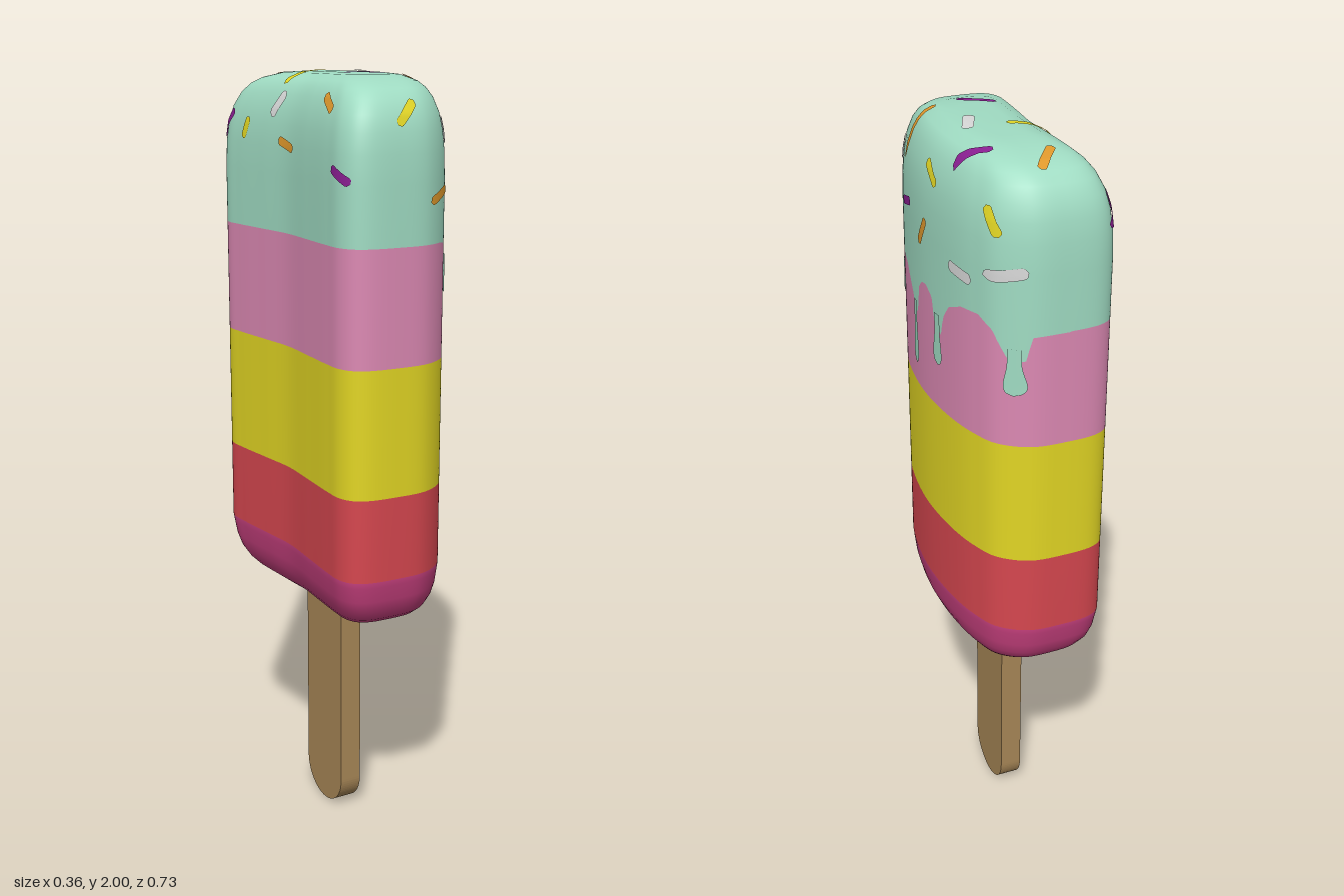
import * as THREE from 'three';

const mat = (name, color, side = THREE.FrontSide) => {
  const m = new THREE.MeshStandardMaterial({ color, side });
  m.name = name;
  return m;
};

// Centre line of the bent cross-section
const bend = z => 0.01 - 0.47 * z * z;

// Lower edge of the mint coating on the convex side, as [z, y]
const EDGE = [
  [0.37, 1.605], [0.33, 1.605], [0.31, 1.6], [0.3, 1.56], [0.286, 1.54], [0.272, 1.56], [0.265, 1.6],
  [0.24, 1.617], [0.2, 1.62], [0.15, 1.61], [0.115, 1.58], [0.085, 1.55], [0.072, 1.52], [0.044, 1.52],
  [0.035, 1.59], [0.01, 1.615], [-0.02, 1.62], [-0.055, 1.6], [-0.068, 1.54], [-0.105, 1.52],
  [-0.115, 1.57], [-0.145, 1.61], [-0.2, 1.632], [-0.26, 1.635], [-0.3, 1.61], [-0.322, 1.56],
  [-0.33, 1.54], [-0.352, 1.54], [-0.358, 1.6], [-0.37, 1.605],
];
function coatingEdge(x, z) {
  if (x < bend(z)) return 1.605;
  for (let i = 1; i < EDGE.length; i++) {
    const [z0, y0] = EDGE[i - 1], [z1, y1] = EDGE[i];
    if (z <= z0 && z >= z1) return y0 + (y1 - y0) * (z0 - z) / (z0 - z1);
  }
  return 1.605;
}

// Kidney-shaped outline, mirrored front to back
function outline(n) {
  const half = [[0.178, 0], [0.165, -0.15], [0.143, -0.24], [0.11, -0.31], [0.04, -0.358], [-0.05, -0.366],
    [-0.13, -0.358], [-0.162, -0.338], [-0.178, -0.3], [-0.177, -0.24], [-0.167, -0.12], [-0.158, 0]];
  const pts = [...half, ...half.slice(1, -1).reverse().map(([x, z]) => [x, -z])];
  const curve = new THREE.CatmullRomCurve3(pts.map(([x, z]) => new THREE.Vector3(x, 0, z)), true);
  return curve.getSpacedPoints(n).slice(0, n);
}

// Body: stacked sections, one material group per flavour band
function makeBody(mats) {
  const n = 240, ring = outline(n);
  // [depth from the end, scale in z, scale in x]
  const cap = [[0, 0, 0], [0.0, 0.35, 0.3], [0.004, 0.55, 0.48], [0.018, 0.73, 0.66], [0.033, 0.82, 0.75],
    [0.055, 0.89, 0.83], [0.09, 0.945, 0.91], [0.13, 0.975, 0.96], [0.18, 0.993, 0.99]];
  const rows = cap.map(([d, sz, sx]) => [() => 0.615 + d * 0.8, sz, sx]);
  const bands = [rows.length];
  for (const y of [0.775, 0.99, 1.315]) {
    rows.push([() => y, 1, 1]);
    bands.push(rows.length);
  }
  rows.push([p => coatingEdge(p.x, p.z), 1, 1]);
  rows.push([() => 1.75, 1, 1]);
  for (const [d, sz, sx] of cap.slice().reverse()) rows.push([() => 2 - d, sz, sx]);

  const pos = [], idx = [];
  for (const [y, sz, sx] of rows)
    for (const p of ring) pos.push(bend(sz * p.z) + sx * (p.x - bend(p.z)), y(p), sz * p.z);
  for (let r = 0; r < rows.length - 1; r++)
    for (let i = 0; i < n; i++) {
      const a = r * n + i, b = r * n + (i + 1) % n;
      idx.push(a, b, b + n, a, b + n, a + n);
    }
  const g = new THREE.BufferGeometry();
  g.setAttribute('position', new THREE.Float32BufferAttribute(pos, 3));
  g.setIndex(idx);
  g.computeVertexNormals();
  const stops = [0, ...bands, rows.length - 1];
  for (let k = 0; k < 5; k++) {
    g.addGroup(stops[k] * n * 6, (stops[k + 1] - stops[k]) * n * 6, k);
  }
  return new THREE.Mesh(g, mats);
}

// Thin strip from a to b, projected on the body along one axis
const AXES = {
  top: (u, v) => [[u, 3, v], [0, -1, 0]],
  front: (u, v) => [[u, v, 3], [0, 0, -1]],
  back: (u, v) => [[u, v, -3], [0, 0, 1]],
  right: (u, v) => [[3, v, u], [-1, 0, 0]],
  left: (u, v) => [[-3, v, u], [1, 0, 0]],
};
function decal(body, axis, a, b, halfWidth, material, rows = 12) {
  const ray = new THREE.Raycaster(), cols = 4, pos = [], idx = [];
  const dx = b[0] - a[0], dy = b[1] - a[1], len = Math.hypot(dx, dy);
  let last = new THREE.Vector3();
  for (let r = 0; r <= rows; r++)
    for (let c = 0; c <= cols; c++) {
      const t = r / rows, w = halfWidth(t, len) * (c / cols * 2 - 1) / len;
      const [o, d] = AXES[axis](a[0] + dx * t - dy * w, a[1] + dy * t + dx * w);
      ray.set(new THREE.Vector3(...o), new THREE.Vector3(...d));
      const hit = ray.intersectObject(body)[0];
      if (hit) last = hit.point.clone().addScaledVector(hit.face.normal, 0.003);
      pos.push(last.x, last.y, last.z);
      if (r < rows && c < cols) {
        const i = r * (cols + 1) + c, j = i + cols + 1;
        idx.push(i, i + 1, j + 1, i, j + 1, j);
      }
    }
  const g = new THREE.BufferGeometry();
  g.setAttribute('position', new THREE.Float32BufferAttribute(pos, 3));
  g.setIndex(idx);
  g.computeVertexNormals();
  return new THREE.Mesh(g, material);
}

export function createModel() {
  const model = new THREE.Group();
  model.name = 'iceLolly';
  const D = THREE.DoubleSide;
  const mint = mat('mint', 0xa0dcc3, D), pink = mat('pink', 0xdc89b3), yellow = mat('yellow', 0xe2d624, D);
  const red = mat('red', 0xd6474f), magenta = mat('magenta', 0xc43f7c), wood = mat('wood', 0xa88757);
  const orange = mat('orange', 0xe0992c, D), purple = mat('purple', 0x8a1f92, D), white = mat('white', 0xd8d8d8, D);

  const body = makeBody([magenta, red, yellow, pink, mint]);
  body.name = 'iceBody';
  model.add(body);

  // Wooden stick with a rounded end
  const s = new THREE.Shape();
  s.moveTo(0.095, 0.7);
  s.lineTo(-0.095, 0.7);
  s.lineTo(-0.095, 0.09);
  s.absellipse(0, 0.09, 0.095, 0.09, Math.PI, Math.PI * 2, false);
  const stick = new THREE.Mesh(
    new THREE.ExtrudeGeometry(s, { depth: 0.06, bevelEnabled: false, curveSegments: 20 }).rotateY(Math.PI / 2), wood);
  stick.position.x = -0.055;
  stick.name = 'stick';
  model.add(stick);

  // Drips: narrow neck, round bulb
  const drips = new THREE.Group();
  drips.name = 'drips';
  for (const [z, top, tip, w] of [[0.286, 1.57, 1.475, 0.018], [0.058, 1.55, 1.375, 0.018],
    [-0.088, 1.57, 1.435, 0.022], [-0.338, 1.57, 1.45, 0.016]]) {
    const width = t => w * (t < 0.8 ? 0.62 + 0.38 * THREE.MathUtils.smoothstep(t, 0.3, 0.8)
      : Math.sqrt(Math.max(0, 1 - ((t - 0.8) / 0.2) ** 2)));
    drips.add(decal(body, 'right', [z, top], [z, tip], width, mint, 24));
  }
  drips.children.forEach(d => { d.name = 'drip'; });
  model.add(drips);

  // Sprinkles: round-ended strips
  const sprinkles = new THREE.Group();
  sprinkles.name = 'sprinkles';
  const list = [
    ['top', orange, -0.06, -0.215, 0, -0.295], ['top', purple, 0.07, -0.19, 0.14, -0.125],
    ['top', yellow, -0.12, -0.077, -0.02, -0.043], ['top', white, 0.077, -0.05, 0.04, 0.04],
    ['top', purple, -0.065, 0.125, 0.02, 0.18], ['top', orange, 0.075, 0.165, 0.155, 0.165],
    ['front', yellow, -0.05, 1.885, 0.005, 1.94], ['front', orange, 0.04, 1.705, 0.11, 1.735],
    ['right', white, 0.29, 1.835, 0.268, 1.9], ['right', yellow, -0.005, 1.925, -0.075, 1.882],
    ['right', yellow, -0.27, 1.9, -0.31, 1.835], ['right', purple, 0.17, 1.77, 0.088, 1.793],
    ['right', orange, 0.015, 1.715, -0.03, 1.79], ['right', white, -0.15, 1.722, -0.24, 1.71],
    ['back', white, 0.13, 1.74, 0.05, 1.76],
    ['left', purple, -0.34, 1.83, -0.27, 1.9], ['left', yellow, -0.21, 1.83, -0.19, 1.885],
    ['left', orange, -0.04, 1.835, 0.04, 1.815], ['left', white, -0.085, 1.89, -0.045, 1.95],
    ['left', orange, 0.175, 1.95, 0.24, 1.915], ['left', purple, 0.27, 1.79, 0.335, 1.755],
  ];
  for (const [axis, m, u0, v0, u1, v1] of list) {
    const r = m === white ? 0.014 : 0.011;
    const width = (t, len) => {
      const e = Math.min(t, 1 - t) * len;
      return e >= r ? r : Math.sqrt(Math.max(0, r * r - (r - e) ** 2));
    };
    const mesh = decal(body, axis, [u0, v0], [u1, v1], width, m, 16);
    mesh.name = 'sprinkle';
    sprinkles.add(mesh);
  }
  model.add(sprinkles);
  return model;
}
